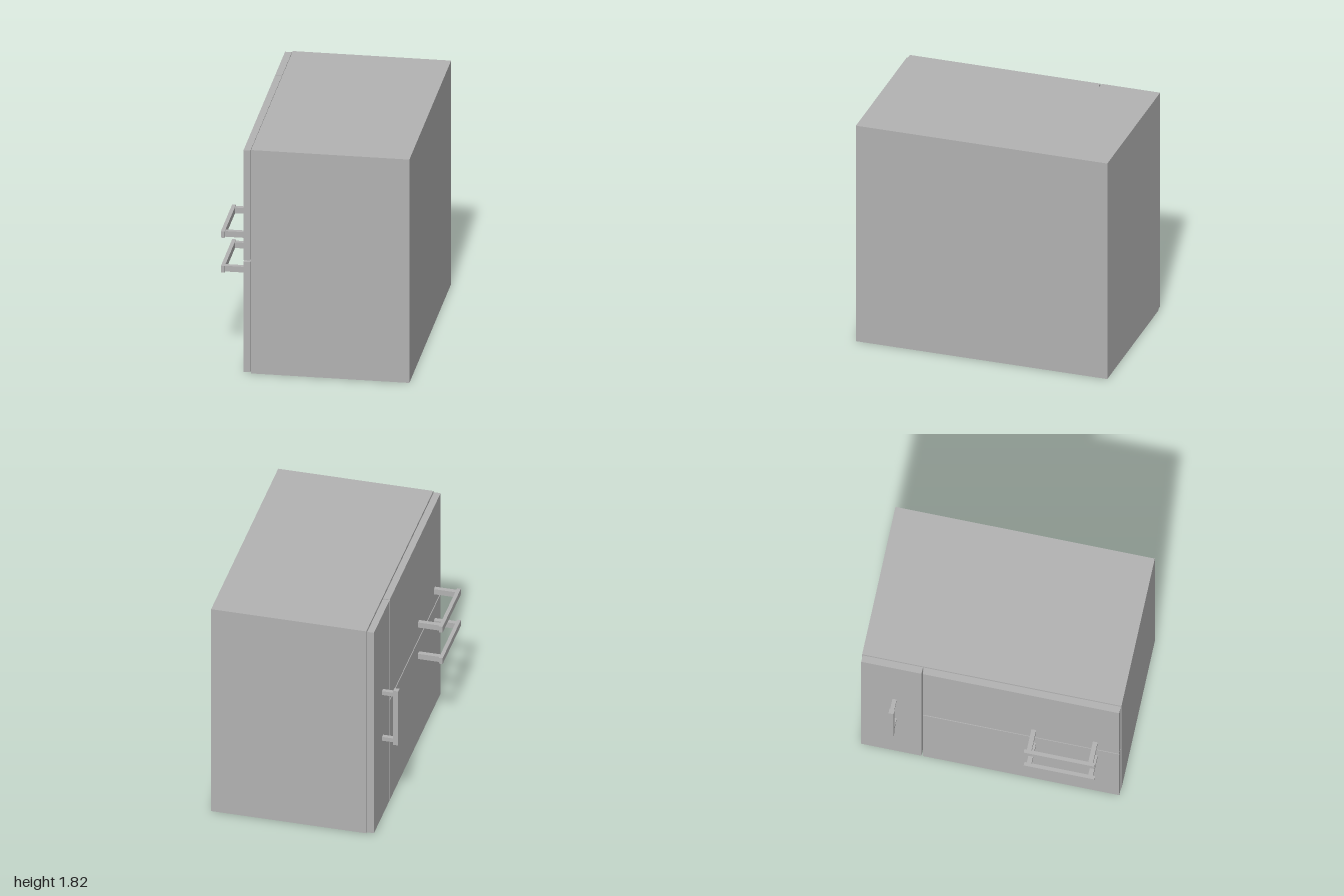
import * as THREE from 'three';

const grey = new THREE.MeshStandardMaterial({ color: 0xb2b2b2 });
grey.name = 'grey';

// Box given by its min and max on each axis
function box(name, [x0, x1], [y0, y1], [z0, z1]) {
  const mesh = new THREE.Mesh(new THREE.BoxGeometry(x1 - x0, y1 - y0, z1 - z0), grey);
  mesh.position.set((x0 + x1) / 2, (y0 + y1) / 2, (z0 + z1) / 2);
  mesh.name = name;
  return mesh;
}

export function createModel() {
  const cabinet = new THREE.Group();
  cabinet.name = 'cabinet';

  // Carcass
  cabinet.add(box('carcass', [-0.48, 0.73], [0, 1.82], [-1, 1]));

  // Front panels: a narrow door beside two stacked drawers
  const panel = [-0.538, -0.485];
  cabinet.add(
    box('narrowDoor', panel, [0.007, 1.813], [-0.995, -0.53]),
    box('upperDrawerFront', panel, [0.918, 1.813], [-0.52, 0.995]),
    box('lowerDrawerFront', panel, [0.007, 0.904], [-0.52, 0.995])
  );

  // Horizontal drawer handles
  for (const [name, y] of [['upperDrawerHandle', 1.053], ['lowerDrawerHandle', 0.77]]) {
    const handle = new THREE.Group();
    handle.name = name;
    handle.add(box('handleBar', [-0.735, -0.706], [y - 0.026, y + 0.026], [0.3, 0.845]));
    for (const z of [0.336, 0.81]) {
      handle.add(box('handlePost', [-0.706, -0.538], [y - 0.023, y + 0.023], [z - 0.018, z + 0.018]));
    }
    cabinet.add(handle);
  }

  // Vertical door handle
  const doorHandle = new THREE.Group();
  doorHandle.name = 'doorHandle';
  doorHandle.add(box('handleBar', [-0.665, -0.626], [0.668, 1.155], [-0.758, -0.718]));
  for (const y of [0.706, 1.118]) {
    doorHandle.add(box('handlePost', [-0.626, -0.538], [y - 0.017, y + 0.017], [-0.754, -0.722]));
  }
  cabinet.add(doorHandle);

  return cabinet;
}
